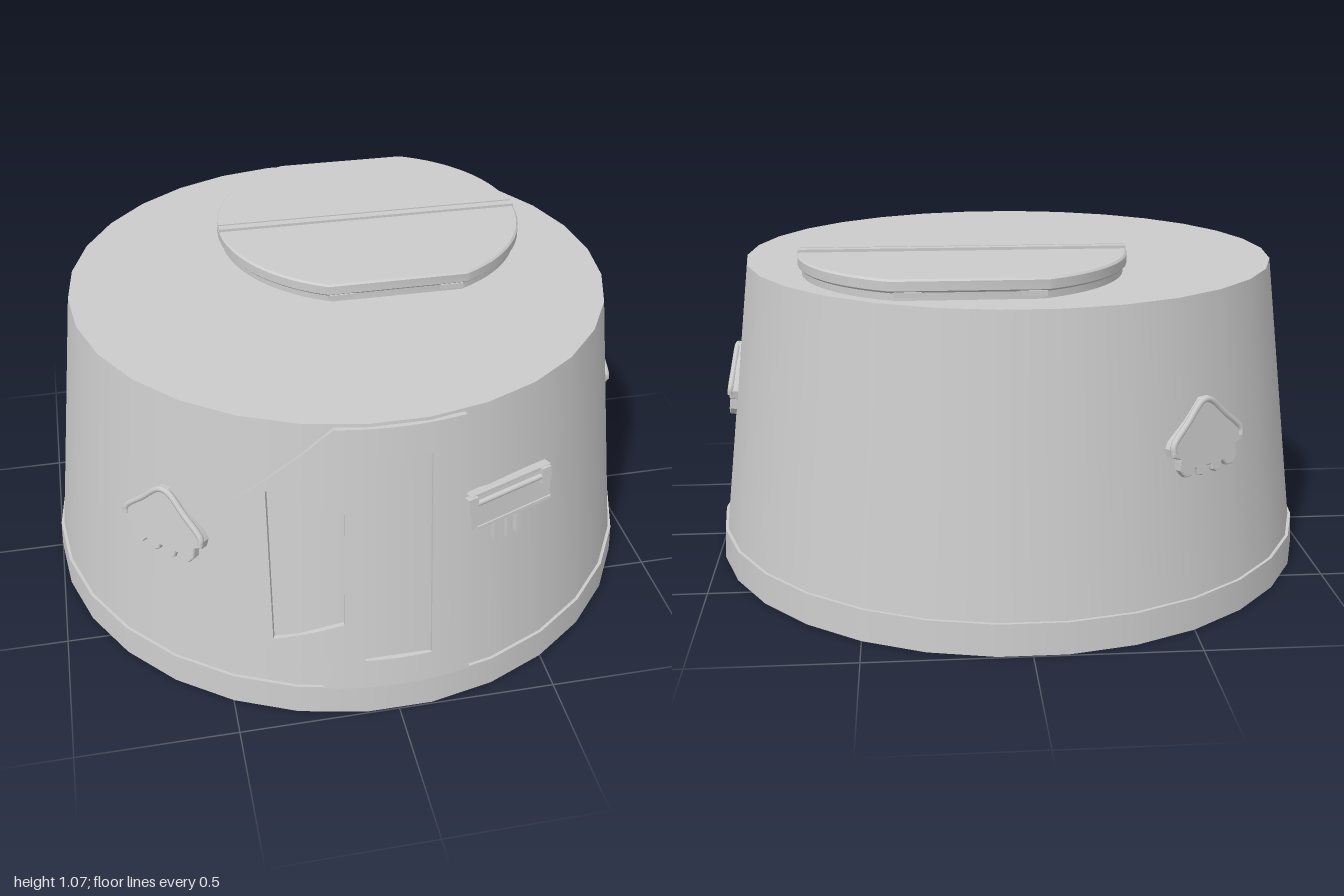
import * as THREE from 'three';
import { toCreasedNormals } from 'three/addons/utils/BufferGeometryUtils.js';

const material = new THREE.MeshStandardMaterial({ color: 0xcccccc });
const SIDES = 30;
const STEP = (2 * Math.PI) / SIDES;
const TILT = Math.atan(0.11 / 0.9);

function add(parent, name, geometry, x = 0, y = 0, z = 0) {
  const mesh = new THREE.Mesh(geometry, material);
  mesh.name = name;
  mesh.position.set(x, y, z);
  parent.add(mesh);
  return mesh;
}

const box = (w, h, d) => new THREE.BoxGeometry(w, h, d);

// Radius of the sloping wall at a height
const wallRadius = (y) => 0.985 - (0.11 * (y - 0.1)) / 0.9;

// Group lying on the wall, its +z pointing outwards
function wallMount(parent, name, angle, y) {
  const group = new THREE.Group();
  group.name = name;
  const r = wallRadius(y);
  group.position.set(r * Math.sin(angle), y, r * Math.cos(angle));
  group.rotation.set(-TILT, angle, 0, 'YXZ');
  parent.add(group);
  return group;
}

// Four-cornered plate (bl, br, tr, tl in x, y) wrapped round the wall
function wrappedPlate(corners, thickness) {
  const geometry = new THREE.BoxGeometry(1, 1, 1, 6, 4, 1);
  const p = geometry.attributes.position;
  const [bl, br, tr, tl] = corners;
  const mix = THREE.MathUtils.lerp;
  for (let i = 0; i < p.count; i++) {
    const s = p.getX(i) + 0.5, t = p.getY(i) + 0.5;
    const x = mix(mix(bl[0], br[0], s), mix(tl[0], tr[0], s), t);
    const y = mix(mix(bl[1], br[1], s), mix(tl[1], tr[1], s), t);
    const a = Math.asin(x / wallRadius(y));
    const r = wallRadius(y) + (p.getZ(i) > 0 ? thickness : -0.012);
    p.setXYZ(i, r * Math.sin(a), y, r * Math.cos(a));
  }
  geometry.computeVertexNormals();
  return geometry;
}

// Round hatch outline with two flat sides
function hatchShape(radius, halfDepth) {
  const a = Math.asin(halfDepth / radius);
  const shape = new THREE.Shape();
  shape.absarc(0, 0, radius, -a, a, false);
  shape.absarc(0, 0, radius, Math.PI - a, Math.PI + a, false);
  shape.closePath();
  return shape;
}

function buildHatch(parent) {
  const hatch = new THREE.Group();
  hatch.name = 'roofHatch';
  hatch.position.set(0.165, 1, -0.277);
  parent.add(hatch);
  const slab = (radius, half, depth, bevel) => {
    const g = new THREE.ExtrudeGeometry(hatchShape(radius - bevel, half - bevel), {
      depth: depth - 2 * bevel, curveSegments: 24, bevelEnabled: bevel > 0,
      bevelSize: bevel, bevelThickness: bevel, bevelSegments: 1,
    });
    g.translate(0, 0, bevel);
    return toCreasedNormals(g.rotateX(-Math.PI / 2), 0.5);
  };
  add(hatch, 'hatchRim', slab(0.508, 0.462, 0.03, 0));
  add(hatch, 'hatchLid', slab(0.52, 0.468, 0.04, 0.006), 0, 0.023, 0);
  // Twin bars over the centre seam, and hinges on both flat sides
  for (const side of [-1, 1]) {
    add(hatch, 'seamBar', box(1.036, 0.014, 0.028), 0, 0.065, side * 0.018);
    for (const x of [-0.185, 0.175]) {
      add(hatch, 'hatchHinge', box(0.08, 0.016, 0.02), x, 0.018, side * 0.46);
    }
  }
}

// Curved door plate, leaving two recessed panels open
function buildDoor(parent) {
  const door = new THREE.Group();
  door.name = 'door';
  parent.add(door);
  const pieces = [
    [[-0.485, 0.32], [-0.37, 0.225], [-0.37, 0.814], [-0.46, 0.73]],
    [[-0.37, 0.225], [-0.22, 0.1], [-0.165, 0.335], [-0.37, 0.27]],
    [[-0.37, 0.78], [-0.155, 0.72], [-0.18, 0.99], [-0.37, 0.814]],
    [[-0.22, 0.1], [-0.105, 0.1], [-0.105, 0.335], [-0.165, 0.335]],
    [[-0.165, 0.335], [-0.105, 0.335], [-0.1, 0.72], [-0.155, 0.72]],
    [[-0.155, 0.72], [-0.1, 0.72], [-0.1, 0.99], [-0.18, 0.99]],
    [[-0.105, 0.1], [0.1, 0.1], [0.1, 0.2], [-0.105, 0.2]],
    [[-0.1, 0.89], [0.1, 0.89], [0.1, 0.99], [-0.1, 0.99]],
    [[0.1, 0.1], [0.225, 0.1], [0.2, 0.99], [0.1, 0.99]],
  ];
  for (const corners of pieces) add(door, 'doorPanel', wrappedPlate(corners, 0.01));
}

// Small gabled cover with a scalloped lower edge
function buildPortCover(parent, angle) {
  const cover = wallMount(parent, 'portCover', angle, 0.585);
  const half = [
    [0.015, 0.112], [0.138, 0.004], [0.15, -0.016], [0.145, -0.04], [0.118, -0.05],
    [0.118, -0.085], [0.1, -0.107], [0.078, -0.107], [0.062, -0.088], [0.05, -0.092],
    [0.044, -0.112], [0.028, -0.116], [0.016, -0.108], [0.012, -0.09],
  ];
  const left = half.map(([x, y]) => [-x, y]).reverse();
  const shape = new THREE.Shape([...half, ...left].map(([x, y]) => new THREE.Vector2(x, y)));
  const plate = new THREE.ExtrudeGeometry(shape, {
    depth: 0.024, bevelSize: 0.003, bevelThickness: 0.004, bevelSegments: 1,
  });
  add(cover, 'coverPlate', toCreasedNormals(plate, 0.6), 0, 0, -0.016);
  // Raised rim along the gable
  const rim = new THREE.CatmullRomCurve3(
    [[-0.144, -0.03], [-0.144, -0.008], [-0.08, 0.05], [-0.016, 0.104], [0.016, 0.104],
      [0.08, 0.05], [0.144, -0.008], [0.144, -0.03]].map(([x, y]) => new THREE.Vector3(x, y, 0.01)),
    false, 'centripetal');
  add(cover, 'coverRim', new THREE.TubeGeometry(rim, 40, 0.01, 8));
}

// Latch beside the door: plate, hinge bar, end clips and prongs
function buildLatch(parent) {
  const latch = wallMount(parent, 'doorLatch', THREE.MathUtils.degToRad(22), 0.66);
  add(latch, 'latchPlate', box(0.3, 0.1, 0.014), 0.005, 0.005, 0.012);
  add(latch, 'latchTopFlange', box(0.3, 0.012, 0.03), 0.005, 0.065, 0.008);
  add(latch, 'latchBottomFlange', box(0.28, 0.01, 0.03), 0.015, -0.045, 0.01);
  const rod = add(latch, 'latchRod', new THREE.CylinderGeometry(0.009, 0.009, 0.31, 12), -0.005, 0.042, 0.024);
  rod.rotation.z = Math.PI / 2;
  for (const x of [-0.145, 0.13]) {
    add(latch, 'latchClip', box(0.034, 0.05, 0.022), x, 0.045, 0.024);
  }
  for (const [x, length] of [[-0.05, 0.075], [0.0, 0.085], [0.035, 0.08]]) {
    add(latch, 'latchProng', box(0.016, length, 0.016), x, -0.045 - length / 2, 0.008);
  }
}

export function createModel() {
  const model = new THREE.Group();
  model.name = 'turret';

  // Sloping drum standing on a slightly wider foot ring
  const drum = (top, bottom, height) =>
    new THREE.CylinderGeometry(top, bottom, height, SIDES, 1, false, STEP / 2);
  add(model, 'baseRing', drum(0.995, 1, 0.1), 0, 0.05, 0);
  add(model, 'turretBody', drum(0.875, 0.985, 0.9), 0, 0.55, 0);

  buildHatch(model);
  buildDoor(model);
  buildLatch(model);
  for (const degrees of [90, -45, -145]) {
    buildPortCover(model, THREE.MathUtils.degToRad(degrees));
  }
  return model;
}
